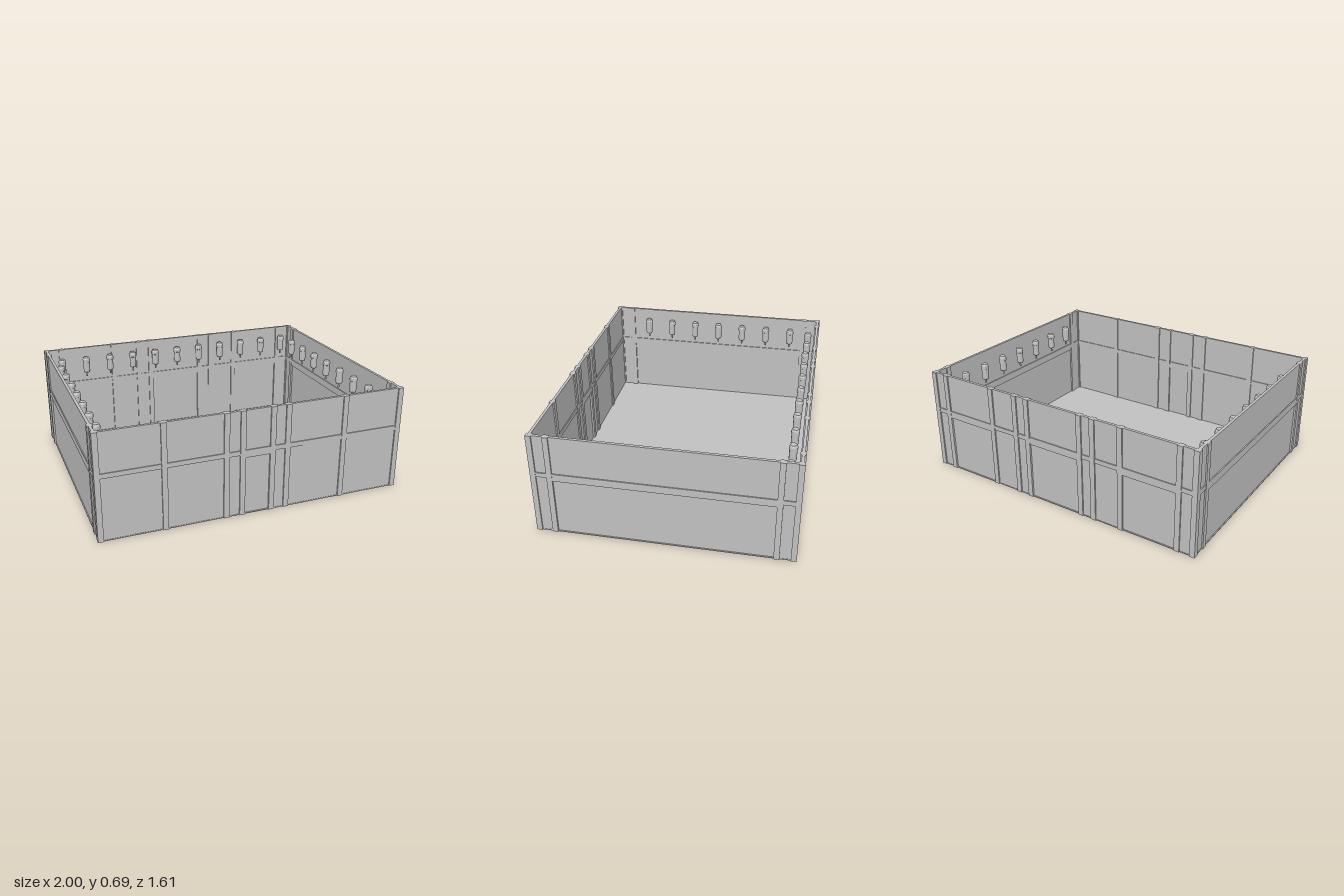
import * as THREE from 'three';

const H = 0.69, HX = 1, HZ = 0.805, T = 0.035;
const BEAM_LOW = 0.405, BEAM_DEEP = 0.385, BEAM_TOP = 0.435;

export function createModel() {
  const model = new THREE.Group();
  model.name = 'walledRoom';
  const stone = new THREE.MeshStandardMaterial({ color: 0xc0c0c0 });
  stone.name = 'stone grey';

  function box(parent, name, x0, x1, y0, y1, z0, z1) {
    const m = new THREE.Mesh(new THREE.BoxGeometry(x1 - x0, y1 - y0, z1 - z0), stone);
    m.position.set((x0 + x1) / 2, (y0 + y1) / 2, (z0 + z1) / 2);
    m.name = name;
    parent.add(m);
  }

  // A wall along local x, centred on z = 0: posts, then a beam and two panels per bay.
  // Deep bays have a taller beam and a thinner lower panel.
  function wall(name, half, posts, deep) {
    const g = new THREE.Group();
    g.name = name;
    const p = T / 2;
    posts.forEach((x) => box(g, 'post', x - p, x + p, 0, H, -p, p));
    const stops = [-half + p, ...posts, half - p];
    for (let i = 0; i < stops.length - 1; i++) {
      const a = stops[i] + p, b = stops[i + 1] - p, isDeep = deep.includes(i);
      const low = isDeep ? BEAM_DEEP : BEAM_LOW, t = isDeep ? 0.005 : 0.009;
      box(g, 'beam', a, b, low, BEAM_TOP, -0.0155, 0.0155);
      box(g, 'upperPanel', a, b, BEAM_TOP, H, -0.009, 0.009);
      box(g, 'lowerPanel', a, b, 0.004, low, -t, t);
    }
    model.add(g);
    return g;
  }

  // Floor slab
  box(model, 'floor', -HX + 0.006, HX - 0.006, 0, 0.006, -HZ + 0.006, HZ - 0.006);

  // Four walls
  const c = T / 2;
  wall('frontWall', HX, [-0.588, -0.202, -0.098, 0.098, 0.198, 0.588], [3])
    .position.z = HZ - c;
  wall('backWall', HX, [-0.88, -0.49, -0.295, -0.2, 0.2, 0.295, 0.49, 0.88], [1, 4, 7])
    .position.z = -HZ + c;
  for (const s of [-1, 1]) {
    const side = wall(s > 0 ? 'leftWall' : 'rightWall', HZ, [-0.685, 0.685], [1]);
    side.rotation.y = s * Math.PI / 2;
    side.position.x = s * (HX - c);
  }

  // Corner posts
  for (const sx of [-1, 1]) for (const sz of [-1, 1]) {
    const x = sx * (HX - c), z = sz * (HZ - c);
    box(model, 'cornerPost', x - c, x + c, 0, H, z - c, z + c);
  }

  // Hanging lanterns: small stem, body and bevelled cap
  const profile = [[0, 0.485], [0.006, 0.485], [0.006, 0.51], [0.02, 0.515], [0.024, 0.525],
    [0.024, 0.595], [0.027, 0.597], [0.027, 0.615], [0.02, 0.63], [0, 0.63]];
  const lanternGeo = new THREE.LatheGeometry(
    profile.map(([r, y]) => new THREE.Vector2(r, y)), 12).toNonIndexed();
  lanternGeo.computeVertexNormals();
  function lantern(x, z) {
    const m = new THREE.Mesh(lanternGeo, stone);
    m.name = 'lantern';
    m.position.set(x, 0, z);
    model.add(m);
  }
  for (let i = 0; i < 11; i++) lantern(-0.885 + i * 0.177, -0.725);
  for (let i = 0; i < 7; i++) for (const s of [-1, 1]) lantern(s * 0.917, -0.585 + i * 0.187);

  return model;
}
